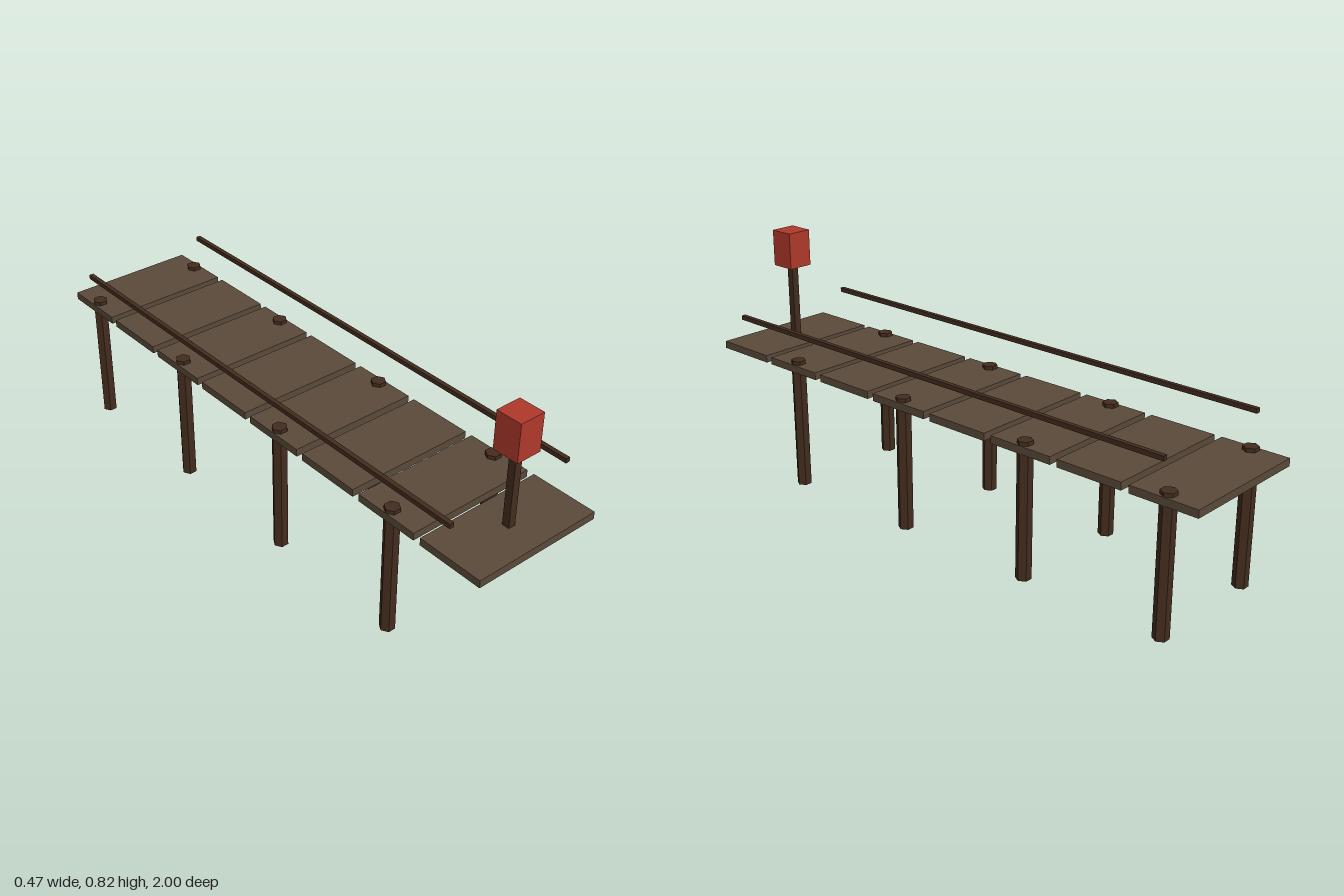
import * as THREE from 'three';

const material = (color) => new THREE.MeshStandardMaterial({ color, flatShading: true });

export function createModel() {
  const model = new THREE.Group();
  model.name = 'pier';

  const plankWood = material(0x5a4a3a);
  const darkWood = material(0x432c1e);
  const red = material(0xb0392b);

  const add = (name, geometry, mat, x, y, z) => {
    const mesh = new THREE.Mesh(geometry, mat);
    mesh.name = name;
    mesh.position.set(x, y, z);
    model.add(mesh);
    return mesh;
  };

  const pitch = 0.2532;
  const plankZ = (i) => (i - 3.5) * pitch;

  // Deck: eight wide planks with narrow gaps
  const plank = new THREE.BoxGeometry(0.456, 0.0253, 0.2278);
  for (let i = 0; i < 8; i++) add('deckPlank', plank, plankWood, 0, 0.4304, plankZ(i));

  // Hexagonal piles, poking through every second plank
  const pile = new THREE.CylinderGeometry(0.0253, 0.0253, 0.4557, 6);
  pile.rotateY(Math.PI / 6);
  for (let i = 0; i < 8; i += 2) {
    for (const side of [-1, 1]) add('pile', pile, darkWood, side * 0.2025, 0.2278, plankZ(i));
  }

  // Handrails
  const rail = new THREE.BoxGeometry(0.0152, 0.0152, 1.772);
  for (const side of [-1, 1]) add('handrail', rail, darkWood, side * 0.228, 0.557, 0);

  // Lamp post with red lantern at the front end
  add('lampPost', new THREE.BoxGeometry(0.0253, 0.2557, 0.0253), darkWood, 0, 0.57, plankZ(7));
  add('lantern', new THREE.BoxGeometry(0.0886, 0.1266, 0.0886), red, 0, 0.7605, plankZ(7));

  return model;
}
